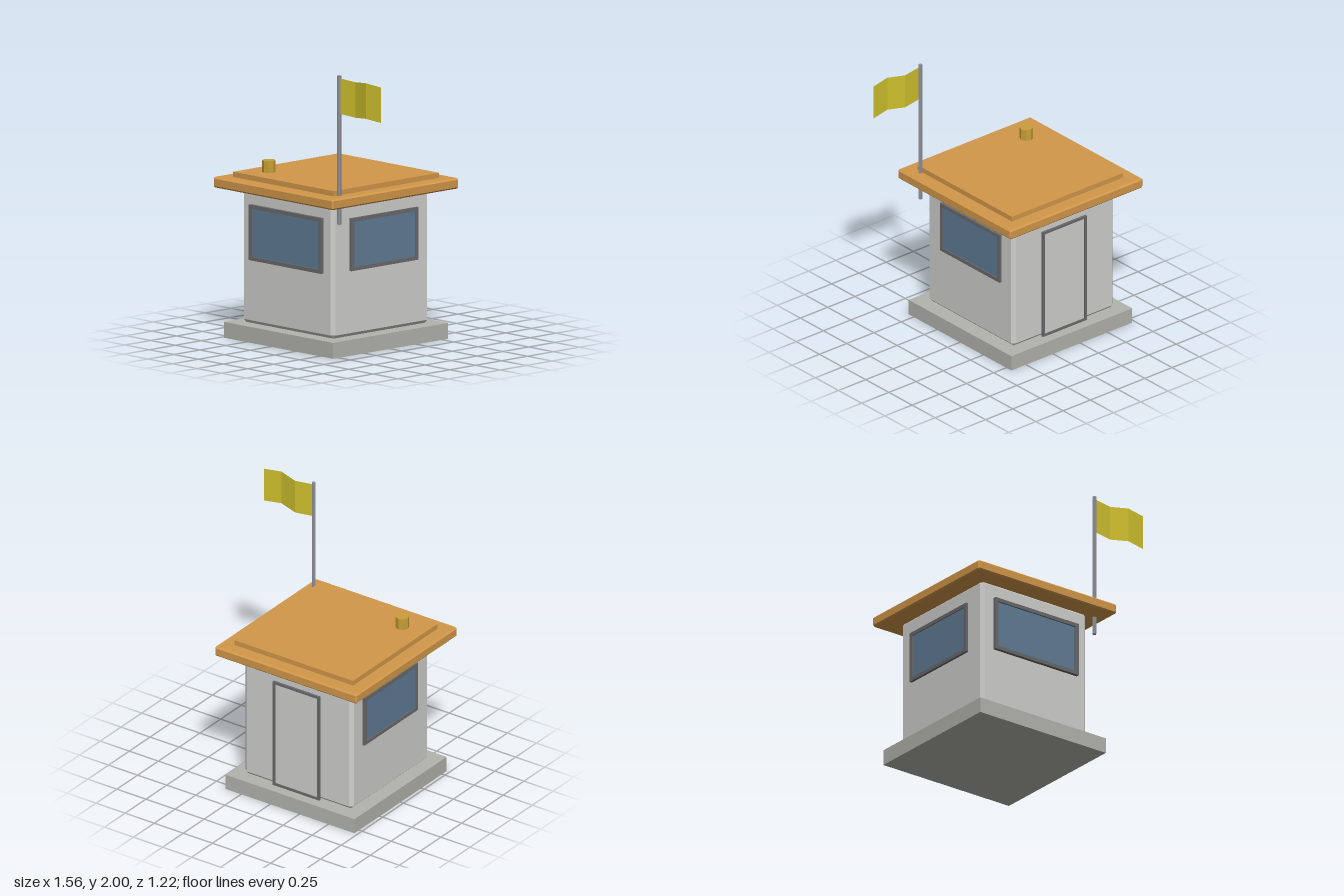
import * as THREE from 'three';
import { ConvexGeometry } from 'three/addons/geometries/ConvexGeometry.js';

const mat = (name, color, side = THREE.FrontSide) => {
  const m = new THREE.MeshStandardMaterial({ color, side, flatShading: true });
  m.name = name;
  return m;
};

// Box with chamfered edges, as the hull of three points per corner
function chamferBox(w, h, d, c) {
  const pts = [];
  for (const x of [-1, 1]) for (const y of [-1, 1]) for (const z of [-1, 1]) {
    const X = x * w / 2, Y = y * h / 2, Z = z * d / 2;
    pts.push(
      new THREE.Vector3(X, Y - y * c, Z - z * c),
      new THREE.Vector3(X - x * c, Y, Z - z * c),
      new THREE.Vector3(X - x * c, Y - y * c, Z));
  }
  return new ConvexGeometry(pts);
}

// Rectangular frame standing on z = 0, facing +z
function frameGeometry(w, h, border, depth) {
  const rect = (T, a, b) => new T([[-a, -b], [a, -b], [a, b], [-a, b]].map(p => new THREE.Vector2(...p)));
  const shape = rect(THREE.Shape, w / 2, h / 2);
  shape.holes.push(rect(THREE.Path, w / 2 - border, h / 2 - border));
  return new THREE.ExtrudeGeometry(shape, { depth, bevelEnabled: false });
}

export function createModel() {
  const model = new THREE.Group();
  model.name = 'guardBooth';
  const wall = mat('wall grey', 0xd0d0ce), stone = mat('plinth grey', 0xb4b4ae);
  const roofing = mat('roof orange', 0xd3984a), trim = mat('frame grey', 0x6a6a6d);
  const glass = mat('window blue', 0x607c96), steel = mat('pole grey', 0x8e9097);
  const brass = mat('vent ochre', 0xc9a038), cloth = mat('flag yellow', 0xd2c32e, THREE.DoubleSide);

  const add = (name, geo, material, x, y, z, parent = model) => {
    const m = new THREE.Mesh(geo, material);
    m.name = name;
    m.position.set(x, y, z);
    parent.add(m);
    return m;
  };
  const cx = -0.17; // the building sits left of centre to balance the flag

  // Plinth, walls and roof
  add('plinth', new THREE.BoxGeometry(1.11, 0.113, 1.11), stone, cx, 0.0565, 0);
  add('walls', chamferBox(0.93, 0.97, 0.93, 0.024), wall, cx - 0.004, 0.598, 0);
  add('roofEave', chamferBox(1.22, 0.075, 1.22, 0.011), roofing, cx, 1.107, 0);
  add('roofCap', new THREE.BoxGeometry(1.02, 0.045, 1.02), roofing, cx, 1.159, 0);
  add('roofVent', new THREE.CylinderGeometry(0.048, 0.048, 0.09, 8), brass, -0.505, 1.22, 0.33);

  // Framed panels: windows on three sides and the door at the back
  const opening = (name, w, h, border, depth, inset, fill, x, y, z, turn) => {
    const g = new THREE.Group();
    g.name = name;
    add(name + 'Frame', frameGeometry(w, h, border, depth), trim, 0, 0, 0, g);
    const t = 0.008;
    add(name + 'Panel', new THREE.BoxGeometry(w - 2 * border, h - 2 * border, t), fill, 0, 0, depth - inset - t / 2, g);
    g.position.set(x, y, z);
    g.rotation.y = turn;
    model.add(g);
  };
  opening('frontWindow', 0.735, 0.395, 0.027, 0.027, 0.012, glass, cx - 0.002, 0.767, 0.464, 0);
  opening('leftWindow', 0.645, 0.375, 0.027, 0.02, 0.008, glass, 0.29, 0.768, -0.017, Math.PI / 2);
  opening('rightWindow', 0.645, 0.375, 0.027, 0.02, 0.008, glass, -0.638, 0.768, -0.017, -Math.PI / 2);
  opening('door', 0.4, 0.825, 0.018, 0.018, 0.008, wall, cx, 0.526, -0.464, Math.PI);

  // Flagpole beside the front corner
  add('flagpole', new THREE.CylinderGeometry(0.015, 0.015, 1.06, 6), steel, 0.353, 1.47, 0.465).rotation.y = Math.PI / 2;

  // Waving flag: a strip of three panels bent along x
  const flag = new THREE.PlaneGeometry(0.415, 0.253, 3, 1);
  const sway = [0, -0.015, 0.016, 0], lift = [0.003, -0.007, 0.008, -0.006];
  const p = flag.attributes.position;
  for (let i = 0; i < p.count; i++) {
    p.setZ(i, sway[i % 4]);
    p.setY(i, p.getY(i) + lift[i % 4]);
  }
  flag.computeVertexNormals();
  add('flag', flag, cloth, 0.573, 1.852, 0.466);

  return model;
}
